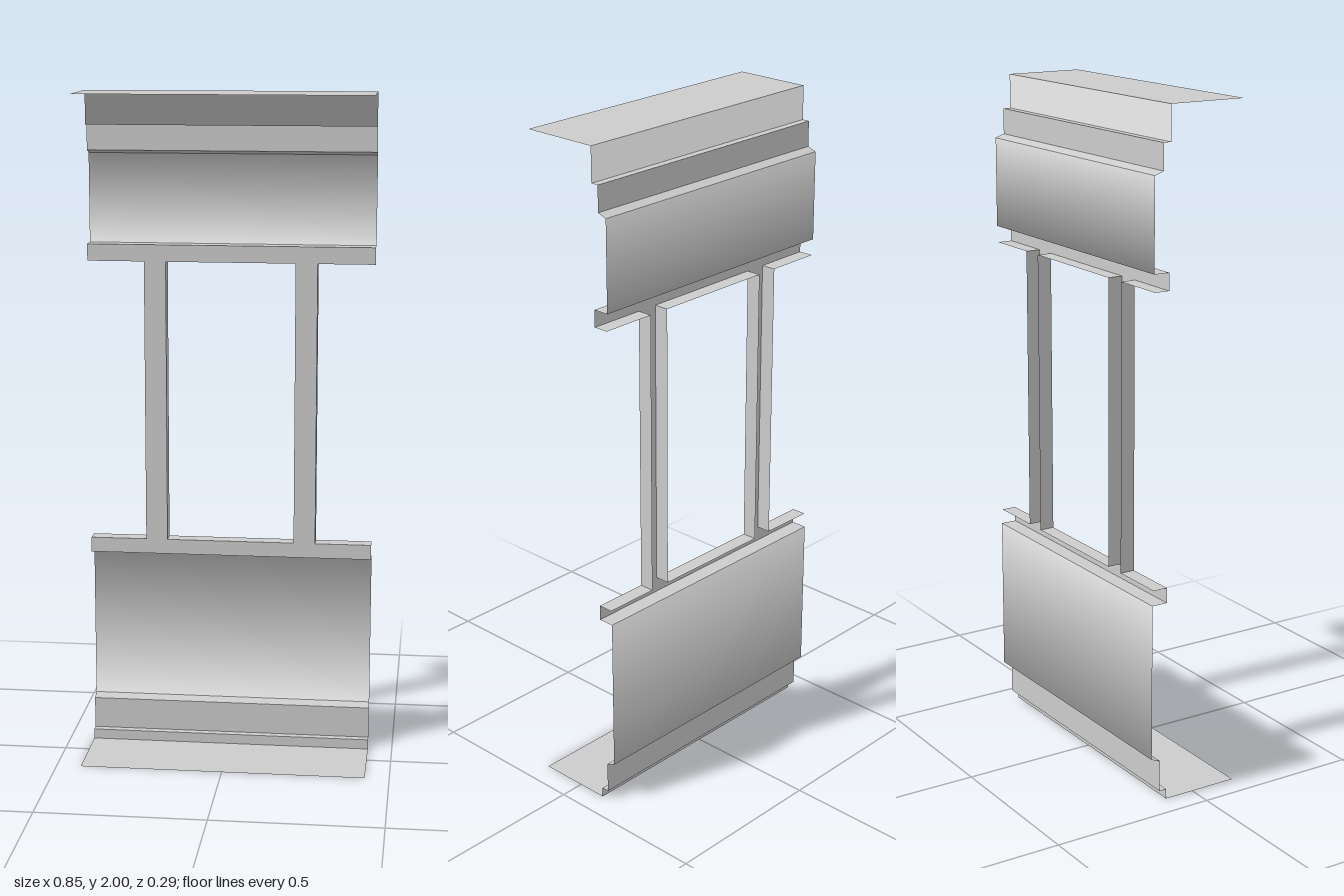
import * as THREE from 'three';

const material = new THREE.MeshStandardMaterial({ color: 0xcccccc, side: THREE.DoubleSide });

// Sheet metal: sweeps a [z, y] profile along x from x0 to x1.
// Segments listed in `soft` blend their normals with their neighbours.
function sheet(name, profile, x0, x1, soft = []) {
  const pos = [], nor = [], idx = [];
  const normals = [];
  for (let i = 0; i < profile.length - 1; i++) {
    const [z0, y0] = profile[i], [z1, y1] = profile[i + 1];
    normals.push(new THREE.Vector3(0, z1 - z0, y0 - y1).normalize());
  }
  normals.forEach((n, i) => {
    const blend = (j) => (soft.includes(i) && normals[j] ? n.clone().add(normals[j]).normalize() : n);
    const nA = blend(i - 1), nB = blend(i + 1);
    const [zA, yA] = profile[i], [zB, yB] = profile[i + 1];
    const k = pos.length / 3;
    pos.push(x0, yA, zA, x0, yB, zB, x1, yB, zB, x1, yA, zA);
    for (const m of [nA, nB, nB, nA]) nor.push(m.x, m.y, m.z);
    idx.push(k, k + 1, k + 2, k, k + 2, k + 3);
  });
  const geometry = new THREE.BufferGeometry();
  geometry.setAttribute('position', new THREE.Float32BufferAttribute(pos, 3));
  geometry.setAttribute('normal', new THREE.Float32BufferAttribute(nor, 3));
  geometry.setIndex(idx);
  const mesh = new THREE.Mesh(geometry, material);
  mesh.name = name;
  return mesh;
}

export function createModel() {
  const group = new THREE.Group();
  group.name = 'windowWallSection';

  const W = 0.427;                               // half width of the wall
  const FRONT = 0.143, BACK = -0.143;            // flange edge and outer panel
  const MID = -0.115, IN = -0.092;               // stepped bands
  const FRAME = -0.095, RIM = -0.14;             // window frame face and its rim
  const SILL = 0.65, HEAD = 1.5;                 // window opening
  const POST = 0.225, HALF = 0.0325;             // post centre and half width

  // Upper wall: top flange, two stepped bands, panel and window head
  group.add(sheet('upperWall', [
    [FRONT, 2], [IN, 2], [IN, 1.9], [MID, 1.9], [MID, 1.825],
    [BACK, 1.815], [BACK, 1.55], [FRAME, 1.55], [FRAME, HEAD],
  ], -W, W, [1, 5]));

  // Lower wall: window sill, panel, two stepped bands and bottom flange
  group.add(sheet('lowerWall', [
    [FRAME, SILL], [FRAME, 0.605], [BACK, 0.605], [BACK, 0.135],
    [MID, 0.125], [MID, 0.03], [IN, 0.03], [IN, 0], [FRONT, 0],
  ], -W, W, [2]));

  // Rims turned back along the opening, interrupted by the posts
  const spans = [[-W, -POST - HALF], [-POST + HALF, POST - HALF], [POST + HALF, W]];
  for (const [a, b] of spans) {
    group.add(sheet('headRim', [[FRAME, HEAD], [RIM, HEAD]], a, b));
    group.add(sheet('sillRim', [[RIM, SILL], [FRAME, SILL]], a, b));
  }

  // Window posts: upright channels open at the back
  for (const side of [-1, 1]) {
    const post = sheet('windowPost', [
      [RIM, HALF], [FRAME, HALF], [FRAME, -HALF], [RIM, -HALF],
    ], SILL, HEAD);
    post.rotation.z = Math.PI / 2;
    post.position.x = side * POST;
    group.add(post);
  }
  return group;
}
